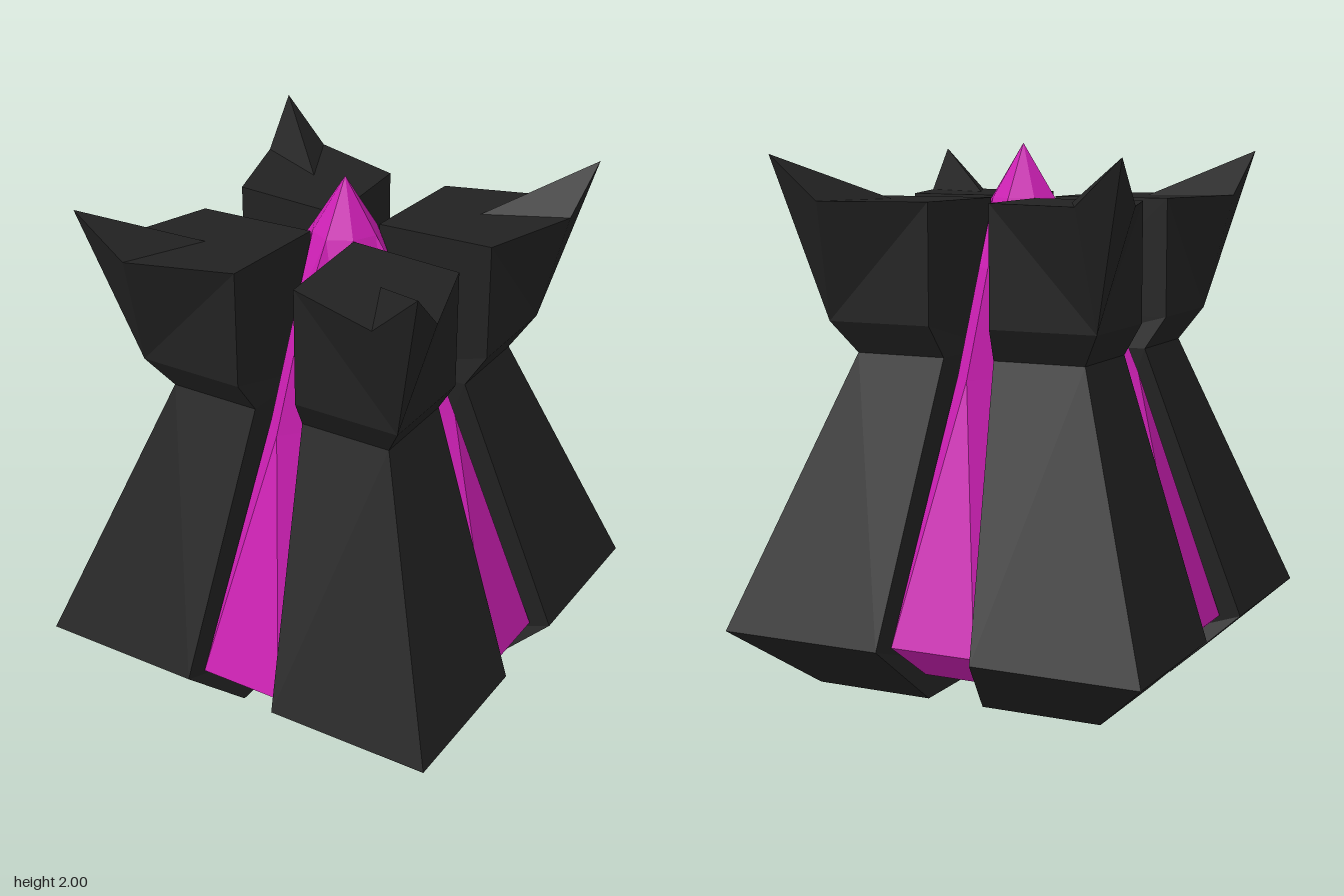
import * as THREE from 'three';

const dark = new THREE.MeshStandardMaterial({ color: 0x222222, flatShading: true });
const magenta = new THREE.MeshStandardMaterial({ color: 0xcc1fb3, flatShading: true });

// Flat-faced solid: every polygon is fanned and turned away from an inner point
function solid(name, polygons, inside, material) {
  const centre = new THREE.Vector3(...inside);
  const position = [];
  for (const polygon of polygons) {
    const p = polygon.map((q) => new THREE.Vector3(...q));
    for (let i = 1; i < p.length - 1; i++) {
      const normal = p[i].clone().sub(p[0]).cross(p[i + 1].clone().sub(p[0]));
      if (normal.length() < 1e-8) continue;
      const outward = normal.dot(p[0].clone().sub(centre)) > 0;
      const tri = outward ? [p[0], p[i], p[i + 1]] : [p[0], p[i + 1], p[i]];
      tri.forEach((v) => position.push(v.x, v.y, v.z));
    }
  }
  const geometry = new THREE.BufferGeometry();
  geometry.setAttribute('position', new THREE.Float32BufferAttribute(position, 3));
  geometry.computeVertexNormals();
  const mesh = new THREE.Mesh(geometry, material);
  mesh.name = name;
  return mesh;
}

// Triangles joining successive rings, with mirrored diagonals, and end caps
function loft(rings) {
  const faces = [rings[0], rings[rings.length - 1]];
  for (let k = 0; k < rings.length - 1; k++) {
    const n = rings[k].length;
    for (let j = 0; j < n; j++) {
      const m = (j + 1) % n;
      const [a, b, c, d] = [rings[k][j], rings[k][m], rings[k + 1][m], rings[k + 1][j]];
      faces.push(j >= n / 2 - 0.5 ? [b, c, d, a] : [a, b, c, d]);
    }
  }
  return faces;
}

// Square-like section of a corner tower
const towerRing = (y, inner, side, outer) => [
  [inner, y, inner], [outer, y, side], [outer, y, outer], [side, y, outer],
];

// Section of a core arm with a ridge in the middle
const armRing = (y, width, edge, ridge) => [
  [0.085, y, 0], [width, y, edge], [0, y, ridge], [-width, y, edge], [-0.085, y, 0],
];

function towerHead() {
  const neck = towerRing(1.24, 0.09, 0.1, 0.455);
  const jaw = towerRing(1.36, 0.09, 0.12, 0.53);
  const [J, A, K, D] = jaw;
  const I = [0.09, 1.8, 0.09], a = [0.53, 1.8, 0.12], b = [0.655, 1.8, 0.5];
  const tip = [0.68, 1.965, 0.68], notch = [0.36, 1.8, 0.36];
  const c = [0.5, 1.8, 0.655], d = [0.12, 1.8, 0.53];
  const flare = loft([neck, jaw]).filter((face) => face !== jaw);
  return [
    ...flare,
    [K, tip, b, a, A], [K, tip, c, d, D], // outer walls
    [J, A, a, I], [J, D, d, I],           // walls beside the slots
    [notch, I, a, b], [notch, I, d, c],   // flat top
    [notch, b, tip], [notch, c, tip],     // horn
  ];
}

export function createModel() {
  const model = new THREE.Group();
  model.name = 'tower';

  const bodyFaces = loft([
    towerRing(0, 0.105, 0.11, 0.57),
    towerRing(0.23, 0.1, 0.185, 0.82),
    towerRing(1.24, 0.09, 0.1, 0.455),
  ]);
  const headFaces = towerHead();
  const armFaces = loft([
    armRing(0.1, 0.105, 0.6, 0.6),
    armRing(0.23, 0.165, 0.745, 0.745),
    armRing(1.165, 0.085, 0.375, 0.47),
    armRing(1.55, 0.085, 0.2, 0.3),
    armRing(1.8, 0.085, 0.085, 0.13),
    Array(5).fill([0, 2, 0]),
  ]);

  // Four corner towers and four core arms
  for (let i = 0; i < 4; i++) {
    const quarter = new THREE.Group();
    quarter.name = 'quarter' + (i + 1);
    quarter.rotation.y = i * Math.PI / 2;
    quarter.add(
      solid('cornerBody', bodyFaces, [0.3, 0.5, 0.3], dark),
      solid('cornerHead', headFaces, [0.4, 1.5, 0.4], dark),
      solid('coreArm', armFaces, [0, 0.6, 0.2], magenta),
    );
    model.add(quarter);
  }
  return model;
}
